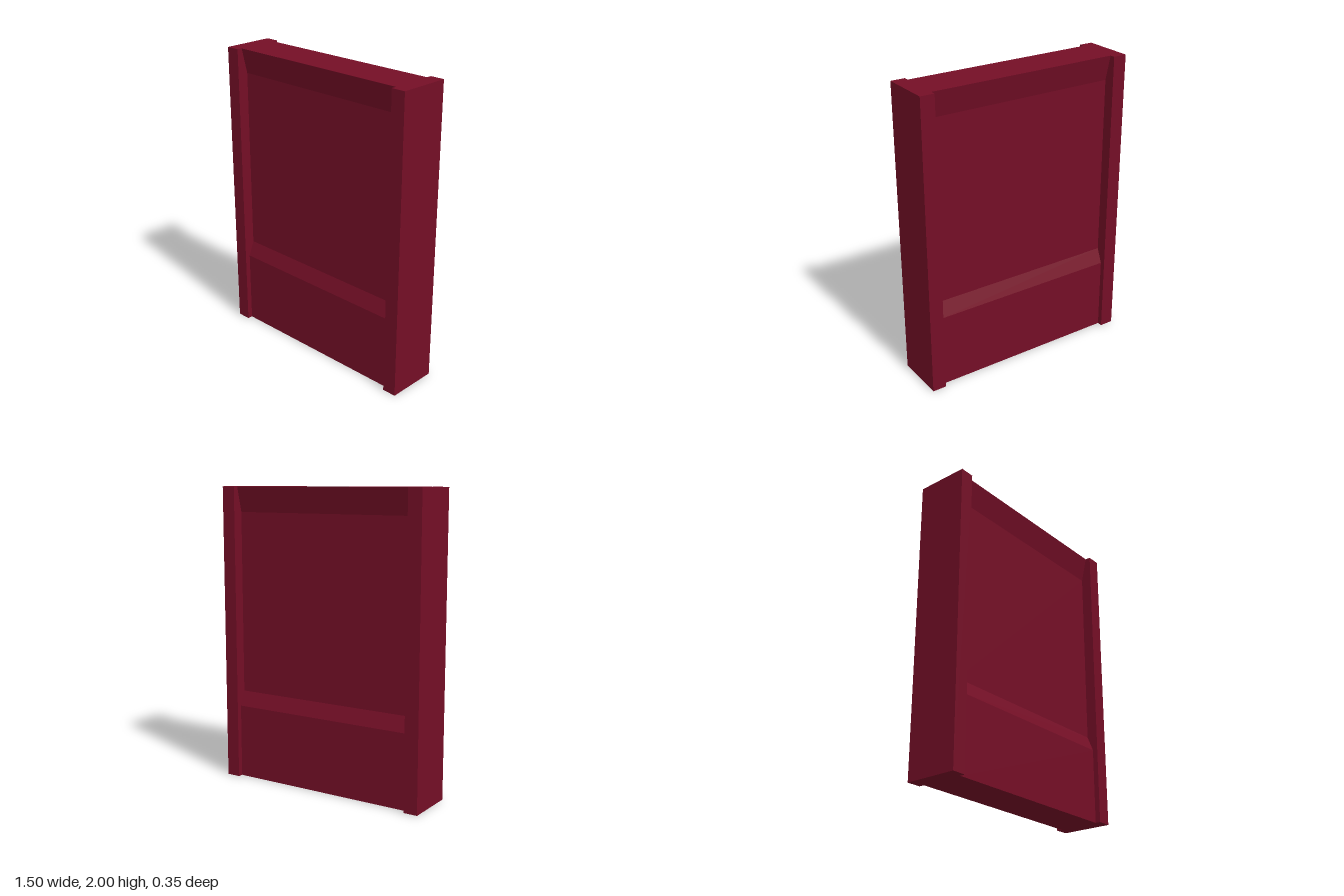
import * as THREE from 'three';

export function createModel() {
  const group = new THREE.Group();
  const darkRed = new THREE.MeshStandardMaterial({ color: 0x740e26 });

  // Upright posts at both sides
  for (const side of [1, -1]) {
    const post = new THREE.Mesh(new THREE.BoxGeometry(0.095, 2, 0.35), darkRed);
    post.name = side > 0 ? 'leftPost' : 'rightPost';
    post.position.set(side * 0.7015, 1, 0);
    group.add(post);
  }

  // Wall panel: half profile (z, y) mirrored front to back, then extruded along x
  const half = [[0.14, 0], [0.14, 0.5], [0.1, 0.6], [0.1, 1.83], [0.14, 2]];
  const outline = [...half, ...half.map(([z, y]) => [-z, y]).reverse()];
  const shape = new THREE.Shape(outline.map(([z, y]) => new THREE.Vector2(z, y)));
  const width = 1.31;
  const geometry = new THREE.ExtrudeGeometry(shape, { depth: width, bevelEnabled: false });
  geometry.translate(0, 0, -width / 2);
  geometry.rotateY(Math.PI / 2);
  const panel = new THREE.Mesh(geometry, darkRed);
  panel.name = 'wallPanel';
  group.add(panel);

  return group;
}
